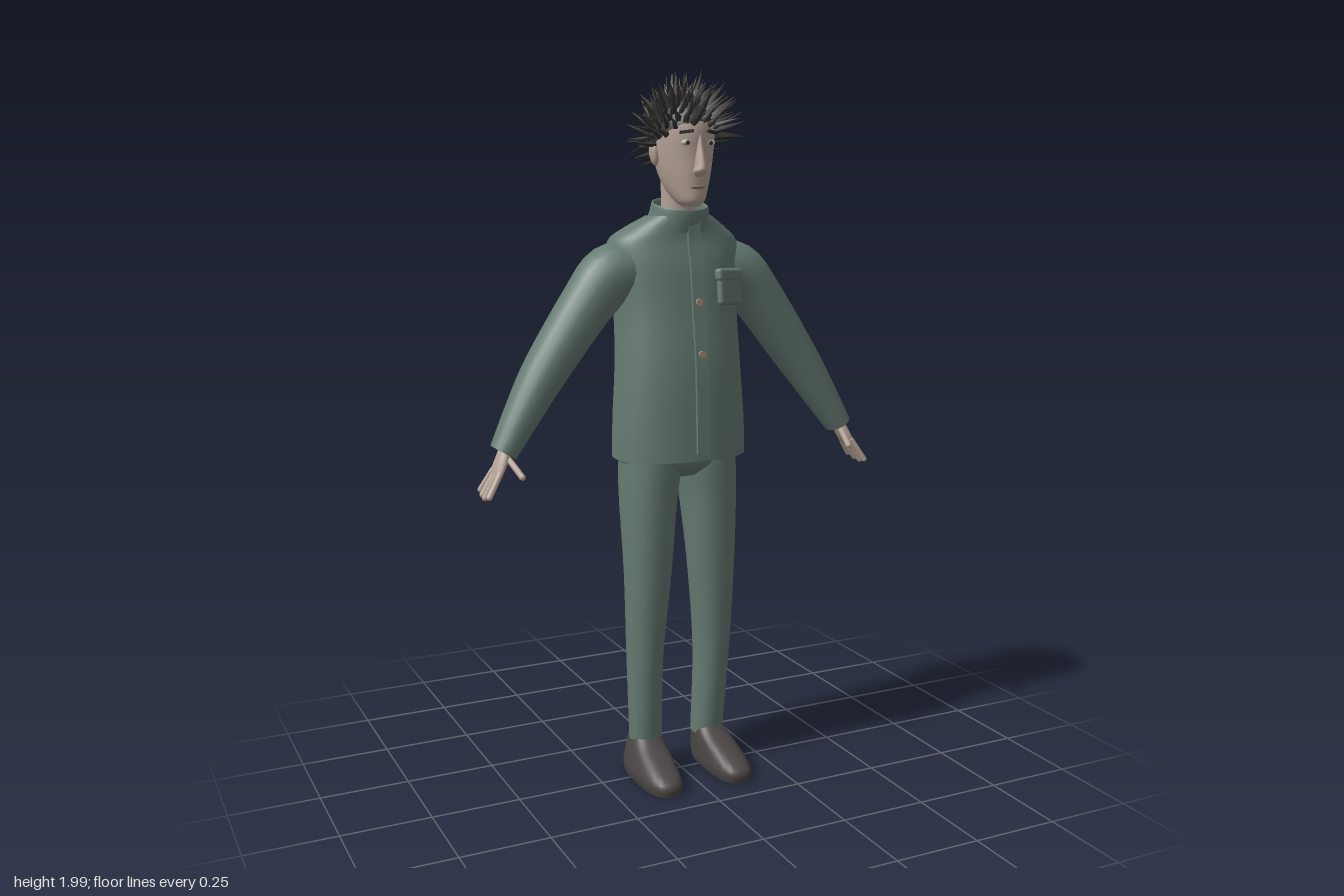
import * as THREE from 'three';
import { mergeGeometries } from 'three/addons/utils/BufferGeometryUtils.js';
import { RoundedBoxGeometry } from 'three/addons/geometries/RoundedBoxGeometry.js';

const material = (name, color, side = THREE.FrontSide) => {
  const m = new THREE.MeshStandardMaterial({ color, side });
  m.name = name;
  return m;
};

// Smoothly resample rows of numbers
function resample(rows, steps) {
  const stride = rows[0].length;
  const curve = new THREE.CubicInterpolant(rows.map((_, i) => i), rows.flat(), stride, new Float32Array(stride));
  const count = (rows.length - 1) * steps;
  return Array.from({ length: count + 1 }, (_, i) => Array.from(curve.evaluate(i / steps)));
}

// Skin a list of closed rings of points, with optional end caps
function skin(rings, caps = true) {
  const n = rings[0].length, pos = [], index = [];
  rings.forEach((ring) => ring.forEach((p) => pos.push(p.x, p.y, p.z)));
  for (let j = 0; j < rings.length - 1; j++) {
    for (let i = 0; i < n; i++) {
      const a = j * n + i, b = j * n + (i + 1) % n;
      index.push(a, a + n, b, b, a + n, b + n);
    }
  }
  if (caps) {
    [rings[0], rings[rings.length - 1]].forEach((ring, end) => {
      const base = pos.length / 3;
      const mid = ring.reduce((s, p) => s.add(p), new THREE.Vector3()).divideScalar(n);
      [...ring, mid].forEach((p) => pos.push(p.x, p.y, p.z));
      for (let i = 0; i < n; i++) {
        const a = base + i, b = base + (i + 1) % n;
        index.push(base + n, ...(end ? [b, a] : [a, b]));
      }
    });
  }
  const g = new THREE.BufferGeometry();
  g.setAttribute('position', new THREE.Float32BufferAttribute(pos, 3));
  g.setIndex(index);
  g.computeVertexNormals();
  return g;
}

// Upright form from rows [y, centre x, half width, back z, front z]
function upright(rows, { n = 28, power = 2, steps = 4, caps = true, tilt = 0 } = {}) {
  const bend = (v) => Math.sign(v) * Math.abs(v) ** (2 / power);
  return skin(resample(rows, steps).map(([y, cx, rx, zb, zf]) =>
    Array.from({ length: n }, (_, i) => {
      const a = i / n * Math.PI * 2, s = bend(Math.sin(a));
      return new THREE.Vector3(cx + rx * bend(Math.cos(a)), y - tilt * s, (zb + zf) / 2 + (zf - zb) / 2 * s);
    })), caps);
}

// Limb from rows [x, y, z, thickness radius, depth radius]
function limb(rows, { n = 20, steps = 4, caps = true } = {}) {
  const r = resample(rows, steps), z = new THREE.Vector3(0, 0, 1);
  return skin(r.map((row, k) => {
    const p = r[Math.max(k - 1, 0)], q = r[Math.min(k + 1, r.length - 1)];
    const u = new THREE.Vector3(q[0] - p[0], q[1] - p[1], 0).normalize().cross(z);
    return Array.from({ length: n }, (_, i) => {
      const a = i / n * Math.PI * 2;
      return new THREE.Vector3(row[0], row[1], row[2])
        .addScaledVector(u, Math.cos(a) * row[3]).addScaledVector(z, Math.sin(a) * row[4]);
    });
  }), caps);
}

const TORSO = [
  [0.94, 0, 0.193, -0.145, 0.115], [1.05, 0, 0.19, -0.147, 0.112], [1.2, 0, 0.18, -0.15, 0.105],
  [1.35, 0, 0.177, -0.16, 0.085], [1.47, 0, 0.188, -0.176, 0.07], [1.535, 0, 0.186, -0.17, 0.055],
  [1.57, 0, 0.146, -0.142, 0.053], [1.605, 0, 0.09, -0.09, 0.055],
];
const chestZ = (y) => {
  const i = Math.max(1, TORSO.findIndex((r) => r[0] >= y)), a = TORSO[i - 1], b = TORSO[i];
  return THREE.MathUtils.mapLinear(y, a[0], b[0], a[4], b[4]);
};

// Finger-like capsule between two points
function finger(from, to, radius) {
  const a = new THREE.Vector3(...from), d = new THREE.Vector3(...to).sub(a);
  const g = new THREE.CapsuleGeometry(radius, d.length() - radius, 3, 8);
  g.applyQuaternion(new THREE.Quaternion().setFromUnitVectors(new THREE.Vector3(0, 1, 0), d.clone().normalize()));
  return g.translate(...a.addScaledVector(d, 0.5).toArray());
}

// Bent, tapering hair spikes spread over the scalp
function spikes(center, radii, tilt) {
  let seed = 11;
  const rand = () => (seed = (seed * 16807) % 2147483647) / 2147483647;
  const list = [], up = new THREE.Vector3(0, 1, 0), count = 190;
  for (let i = 0; i < count; i++) {
    const h = 1 - 1.2 * (i + 0.5) / count, a = i * 2.39996, r = Math.sqrt(1 - h * h);
    const unit = new THREE.Vector3(r * Math.cos(a), h, r * Math.sin(a)).applyAxisAngle(new THREE.Vector3(1, 0, 0), -tilt);
    const dir = unit.clone().add(new THREE.Vector3(0.25 + rand() * 0.5 - 0.25, 0.25 + rand() * 0.5 - 0.25, rand() * 0.6 - 0.3)).normalize();
    const length = 0.035 + rand() * 0.035 + Math.max(unit.x, 0) * 0.03 + Math.max(-unit.z, 0) * 0.01;
    const g = new THREE.ConeGeometry(0.008 + rand() * 0.005, length, 5, 3).translate(0, length / 2 - 0.008, 0);
    const p = g.attributes.position, lean = rand() * 0.03 - 0.015;
    for (let k = 0; k < p.count; k++) p.setX(k, p.getX(k) + lean * Math.max(p.getY(k) / length, 0) ** 2);
    g.computeVertexNormals();
    g.applyQuaternion(new THREE.Quaternion().setFromUnitVectors(up, dir));
    list.push(g.translate(...unit.multiply(radii).add(center).toArray()));
  }
  return mergeGeometries(list);
}

export function createModel() {
  const model = new THREE.Group();
  model.name = 'standingMan';
  const cloth = material('greenCloth', 0x667a72, THREE.DoubleSide);
  const skinTone = material('skin', 0xb5a397);
  const hairTone = material('darkHair', 0x302e2d, THREE.DoubleSide);
  const shoeTone = material('shoeLeather', 0x4b4545);
  const buttonTone = material('button', 0xa5917f);
  const eyeTone = material('eyeWhite', 0xc4bdb4);
  const lipTone = material('lips', 0x8a716a);
  const add = (name, geometry, mat) => {
    const m = new THREE.Mesh(geometry, mat);
    m.name = name;
    model.add(m);
    return m;
  };

  // Jacket
  add('jacketBody', upright(TORSO, { n: 40, power: 2.3, caps: false }), cloth);
  add('jacketCollar', upright([
    [1.575, 0, 0.094, -0.1, 0.06], [1.61, 0, 0.083, -0.09, 0.068], [1.635, 0, 0.077, -0.086, 0.07],
    [1.628, 0, 0.07, -0.079, 0.063], [1.59, 0, 0.07, -0.079, 0.055],
  ], { caps: false, tilt: 0.015 }), cloth);
  const placket = new THREE.BoxGeometry(0.036, 0.63, 0.016, 1, 20, 1).translate(0.01, 1.275, 0);
  const pp = placket.attributes.position;
  for (let i = 0; i < pp.count; i++) pp.setZ(i, pp.getZ(i) + chestZ(pp.getY(i)) + 0.002);
  placket.computeVertexNormals();
  add('jacketPlacket', placket, cloth);
  for (const y of [1.375, 1.235]) {
    add('button', new THREE.CylinderGeometry(0.01, 0.01, 0.008, 14).rotateX(Math.PI / 2).translate(0.01, y, chestZ(y) + 0.012), buttonTone);
  }
  const pocket = new THREE.Group();
  pocket.name = 'chestPocket';
  pocket.position.set(0.118, 1.41, 0.052);
  pocket.rotation.set(-0.12, 0.42, 0);
  for (const [name, w, h, d, y] of [['pocketBag', 0.092, 0.085, 0.028, -0.008], ['pocketFlap', 0.102, 0.035, 0.036, 0.033]]) {
    const m = new THREE.Mesh(new RoundedBoxGeometry(w, h, d, 3, 0.01), cloth);
    m.name = name;
    m.position.y = y;
    pocket.add(m);
  }
  model.add(pocket);

  // Hips
  add('trouserHips', upright([[0.885, 0, 0.09, -0.1, 0.04], [0.92, 0, 0.166, -0.126, 0.074],
    [0.97, 0, 0.172, -0.126, 0.08], [1.03, 0, 0.165, -0.12, 0.08]], { power: 2.3 }), cloth);

  for (const s of [1, -1]) {
    const side = s > 0 ? 'left' : 'right';
    // Sleeve and hand
    add(side + 'Sleeve', limb([
      [s * 0.11, 1.455, -0.055, 0.085, 0.085], [s * 0.19, 1.443, -0.05, 0.085, 0.084],
      [s * 0.26, 1.372, -0.044, 0.074, 0.076], [s * 0.385, 1.2, -0.038, 0.062, 0.07],
      [s * 0.46, 1.085, -0.024, 0.05, 0.057], [s * 0.52, 0.988, -0.01, 0.038, 0.045],
    ]), cloth);
    add(side + 'Palm', limb([
      [s * 0.508, 1.01, -0.008, 0.018, 0.024], [s * 0.525, 0.975, -0.002, 0.016, 0.033],
      [s * 0.54, 0.945, 0.002, 0.013, 0.038], [s * 0.55, 0.925, 0.003, 0.008, 0.035],
    ], { n: 14 }), skinTone);
    for (let i = 0; i < 4; i++) {
      const z = -0.027 + i * 0.02, long = [0.011, 0.003, 0, 0.006][i];
      add(side + 'Finger', finger([s * 0.541, 0.945, z], [s * (0.585 - long / 2), 0.873 + long, z * 1.4 + 0.002], 0.0085), skinTone);
    }
    add(side + 'Thumb', finger([s * 0.515, 0.975, 0.018], [s * 0.5, 0.935, 0.09], 0.0085), skinTone);

    // Trouser leg and shoe
    add(side + 'TrouserLeg', upright([
      [0.09, s * 0.099, 0.046, -0.082, 0.014], [0.35, s * 0.106, 0.05, -0.082, 0.04],
      [0.6, s * 0.1, 0.065, -0.084, 0.06], [0.8, s * 0.094, 0.077, -0.112, 0.07],
      [0.9, s * 0.087, 0.083, -0.126, 0.075], [0.99, s * 0.085, 0.08, -0.122, 0.078],
    ], { power: 2.2 }), cloth);
    add(side + 'Shoe', upright([
      [0, s * 0.11, 0.053, -0.105, 0.176], [0.022, s * 0.11, 0.057, -0.106, 0.18], [0.042, s * 0.109, 0.055, -0.104, 0.165],
      [0.068, s * 0.106, 0.051, -0.1, 0.11], [0.095, s * 0.102, 0.046, -0.092, 0.045], [0.115, s * 0.1, 0.04, -0.084, 0.012],
    ], { power: 2.6, steps: 3 }), shoeTone);

    // Ear, eye and brow
    add(side + 'Ear', new THREE.SphereGeometry(1, 12, 10).scale(0.011, 0.033, 0.02).rotateZ(-s * 0.15).translate(s * 0.08, 1.77, -0.003), skinTone);
    add(side + 'Eye', new THREE.SphereGeometry(1, 14, 10).scale(0.016, 0.008, 0.008).translate(s * 0.034, 1.797, 0.104), eyeTone);
    add(side + 'Pupil', new THREE.SphereGeometry(1, 10, 8).scale(0.006, 0.006, 0.003).translate(s * 0.034, 1.797, 0.111), hairTone);
    add(side + 'Eyebrow', new THREE.BoxGeometry(0.038, 0.008, 0.009).rotateZ(-s * 0.12).rotateY(s * 0.4).translate(s * 0.037, 1.825, 0.111), hairTone);
  }

  // Neck, head, nose and mouth
  add('neck', upright([[1.54, 0, 0.055, -0.075, 0.035], [1.62, 0, 0.047, -0.065, 0.025], [1.73, 0, 0.05, -0.07, 0.04]]), skinTone);
  add('head', upright([
    [1.63, 0, 0.022, 0.035, 0.088], [1.645, 0, 0.038, 0, 0.103], [1.68, 0, 0.055, -0.045, 0.106],
    [1.72, 0, 0.067, -0.075, 0.11], [1.77, 0, 0.076, -0.092, 0.113], [1.825, 0, 0.079, -0.098, 0.12],
    [1.865, 0, 0.077, -0.095, 0.113], [1.9, 0, 0.058, -0.07, 0.08], [1.915, 0, 0.03, -0.04, 0.045],
  ], { n: 32 }), skinTone);
  add('nose', upright([[1.708, 0, 0.008, 0.09, 0.12], [1.722, 0, 0.018, 0.09, 0.139],
    [1.738, 0, 0.014, 0.09, 0.141], [1.785, 0, 0.009, 0.09, 0.127], [1.82, 0, 0.008, 0.09, 0.119]], { n: 14 }), skinTone);
  add('mouth', new THREE.SphereGeometry(1, 14, 8).scale(0.022, 0.006, 0.009).translate(0, 1.682, 0.102), lipTone);

  // Hair: scalp cap with spikes
  const center = new THREE.Vector3(0, 1.815, 0.008), radii = new THREE.Vector3(0.089, 0.115, 0.12), tilt = 0.52;
  add('hairCap', new THREE.SphereGeometry(1, 32, 18, 0, Math.PI * 2, 0, Math.PI * 0.56).rotateX(-tilt)
    .scale(...radii.toArray()).translate(...center.toArray()), hairTone);
  add('hairSpikes', spikes(center, radii, tilt), hairTone);
  return model;
}
